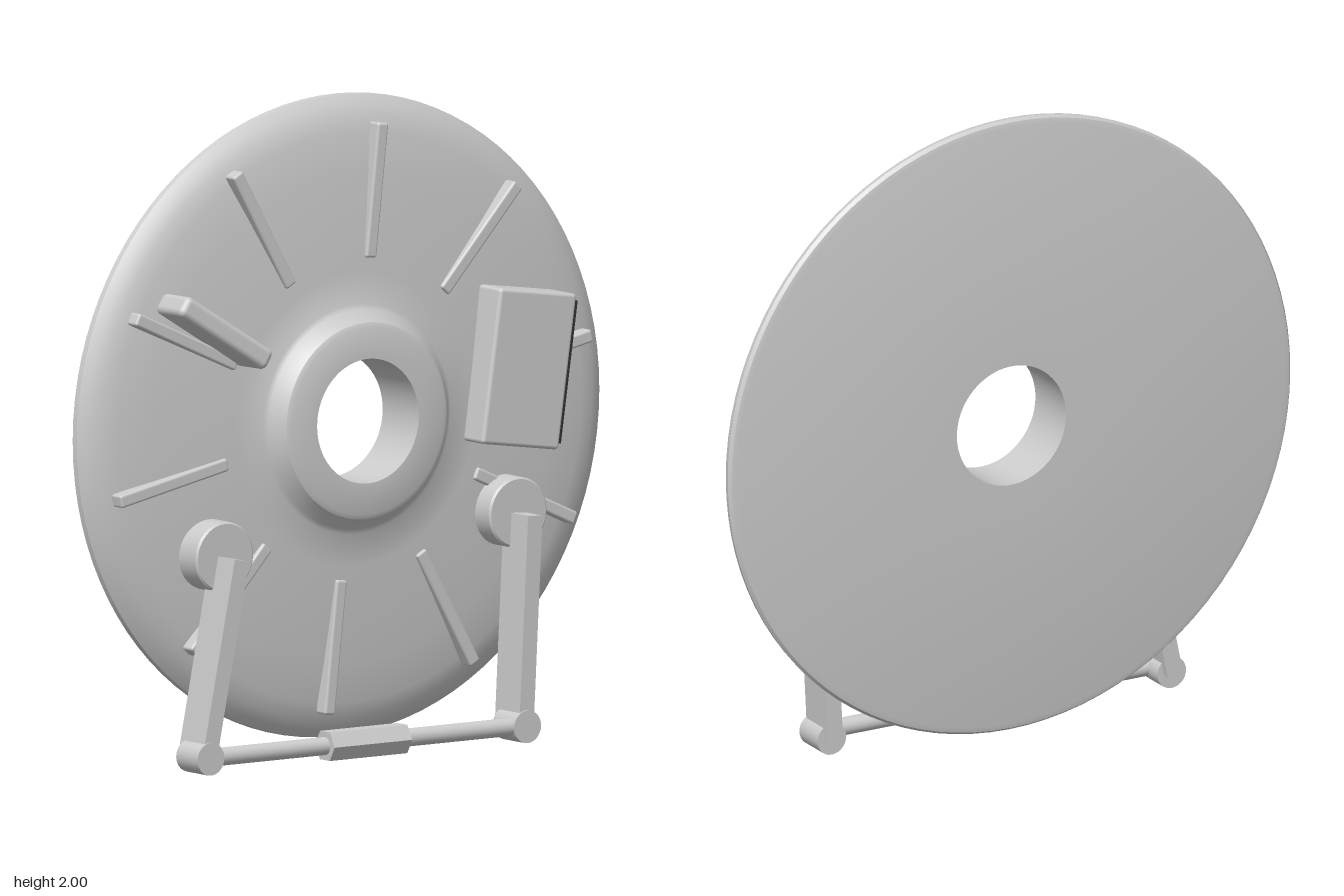
import * as THREE from 'three';
import { RoundedBoxGeometry } from 'three/addons/geometries/RoundedBoxGeometry.js';
import { toCreasedNormals } from 'three/addons/utils/BufferGeometryUtils.js';

const CENTRE_Y = 1.02;
const deg = THREE.MathUtils.degToRad;

export function createModel() {
  const model = new THREE.Group();
  const grey = new THREE.MeshStandardMaterial({ color: 0xcccccc });
  grey.name = 'lightGrey';
  const black = new THREE.MeshStandardMaterial({ color: 0x333333 });
  black.name = 'darkGrey';

  function add(name, geometry, x, y, z, rotZ = 0, material = grey, parent = model) {
    const mesh = new THREE.Mesh(geometry, material);
    mesh.name = name;
    mesh.position.set(x, y, z);
    mesh.rotation.z = rotZ;
    parent.add(mesh);
    return mesh;
  }

  // Revolve [radius, z] points around the z axis, keeping sharp edges
  function turned(points, segments, crease = 0.45) {
    const geometry = new THREE.LatheGeometry(points.map(([r, z]) => new THREE.Vector2(r, z)), segments);
    geometry.rotateX(Math.PI / 2);
    return toCreasedNormals(geometry, crease);
  }

  // Domed disc with raised hub and open centre hole
  add('disc', turned([
    [0.19, -0.15], [0.955, -0.15], [0.972, -0.146], [0.98, -0.135], [0.977, -0.118],
    [0.955, -0.098], [0.92, -0.078], [0.87, -0.064], [0.75, -0.05], [0.6, -0.038],
    [0.45, -0.028], [0.35, -0.023], [0.335, -0.015], [0.30, 0.028], [0.285, 0.035],
    [0.19, 0.035], [0.19, -0.15],
  ], 96), 0, CENTRE_Y, 0);

  // Ten radial ribs on the front
  const ribGeometry = new RoundedBoxGeometry(0.41, 0.04, 0.05, 2, 0.008);
  for (let i = 0; i < 10; i++) {
    const a = deg(11.6 + i * 36);
    add('rib', ribGeometry, Math.cos(a) * 0.695, CENTRE_Y + Math.sin(a) * 0.695, -0.045, a);
  }

  // Tilted housing with a dark side panel
  const housing = new THREE.Group();
  housing.name = 'housing';
  housing.position.set(0.581, 1.134, 0.005);
  housing.rotation.z = deg(-8.3);
  model.add(housing);
  add('housingBody', new RoundedBoxGeometry(0.29, 0.475, 0.13, 3, 0.012), 0, 0, 0, 0, grey, housing);
  add('sidePanel', new THREE.BoxGeometry(0.009, 0.435, 0.115), 0.149, 0, 0, 0, black, housing);

  // Slanted handle block on the other side
  const handle = add('handle', new RoundedBoxGeometry(0.365, 0.068, 0.15, 3, 0.02),
    -0.563, 1.339, 0.02, deg(-32.5));
  handle.rotation.order = 'ZYX';
  handle.rotation.y = deg(-3.5);

  // Pivots, arms and round feet of the stand
  const pivotGeometry = turned([
    [0, -0.06], [0.108, -0.06], [0.108, 0.034], [0.102, 0.04], [0, 0.04],
  ], 40);
  const footGeometry = new THREE.CylinderGeometry(0.05, 0.05, 0.11, 28).rotateX(Math.PI / 2);
  for (const [side, px, py, fx] of [['right', -0.537, 0.65, -0.657], ['left', 0.56, 0.695, 0.527]]) {
    const fy = 0.055;
    const length = Math.hypot(px - fx, py - fy);
    add(side + 'Pivot', pivotGeometry, px, py, 0);
    add(side + 'Arm', new THREE.BoxGeometry(0.054, length, 0.125),
      (px + fx) / 2, (py + fy) / 2, 0.0625, Math.atan2(fx - px, py - fy));
    add(side + 'Foot', footGeometry, fx, fy, 0.076);
  }

  // Cross bar with a hexagonal grip
  add('crossBar', new THREE.CylinderGeometry(0.0275, 0.0275, 1.184, 24), -0.065, 0.055, 0.102, Math.PI / 2);
  const grip = new THREE.CylinderGeometry(0.05, 0.05, 0.29, 6).toNonIndexed();
  grip.rotateY(Math.PI / 6).rotateZ(Math.PI / 2);
  // Put hexagon corners at top and bottom
  grip.rotateX(Math.PI / 6);
  grip.computeVertexNormals();
  add('grip', grip, -0.065, 0.055, 0.102);

  return model;
}
